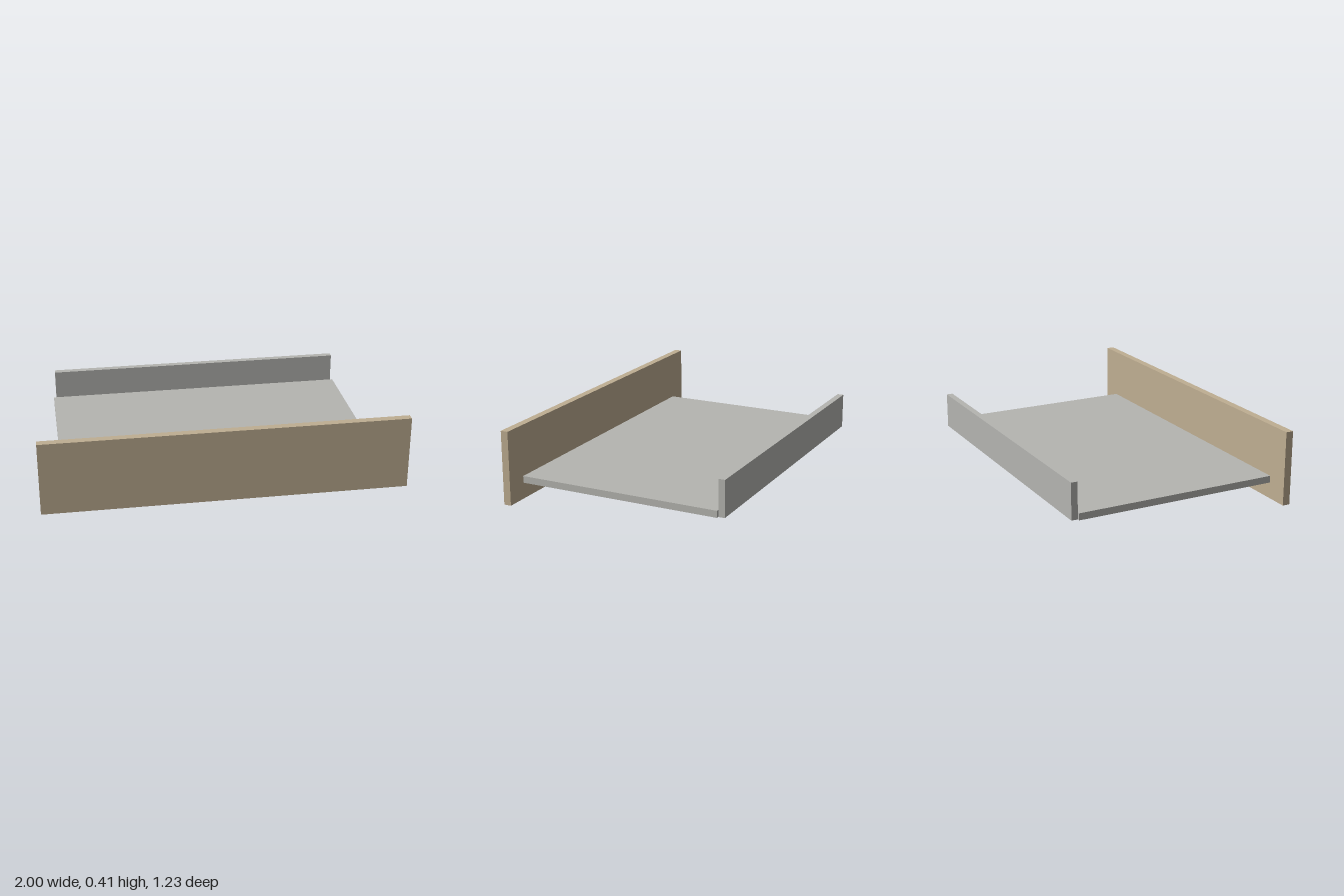
import * as THREE from 'three';

export function createModel() {
  const group = new THREE.Group();
  const wood = new THREE.MeshStandardMaterial({ color: 0xbfae92 });
  wood.name = 'beige wood';
  const metal = new THREE.MeshStandardMaterial({ color: 0xb5b5b1 });
  metal.name = 'light grey';

  // Box centred on x, given by its y and z ranges
  const panel = (name, width, [y0, y1], [z0, z1], material) => {
    const mesh = new THREE.Mesh(new THREE.BoxGeometry(width, y1 - y0, z1 - z0), material);
    mesh.position.set(0, (y0 + y1) / 2, (z0 + z1) / 2);
    mesh.name = name;
    group.add(mesh);
  };

  // Drawer front, floor and the slightly narrower back
  panel('drawerFront', 2, [0, 0.412], [0.573, 0.615], wood);
  panel('drawerBottom', 1.75, [0.09, 0.128], [-0.579, 0.573], metal);
  panel('drawerBack', 1.72, [0.09, 0.292], [-0.615, -0.579], metal);

  return group;
}
